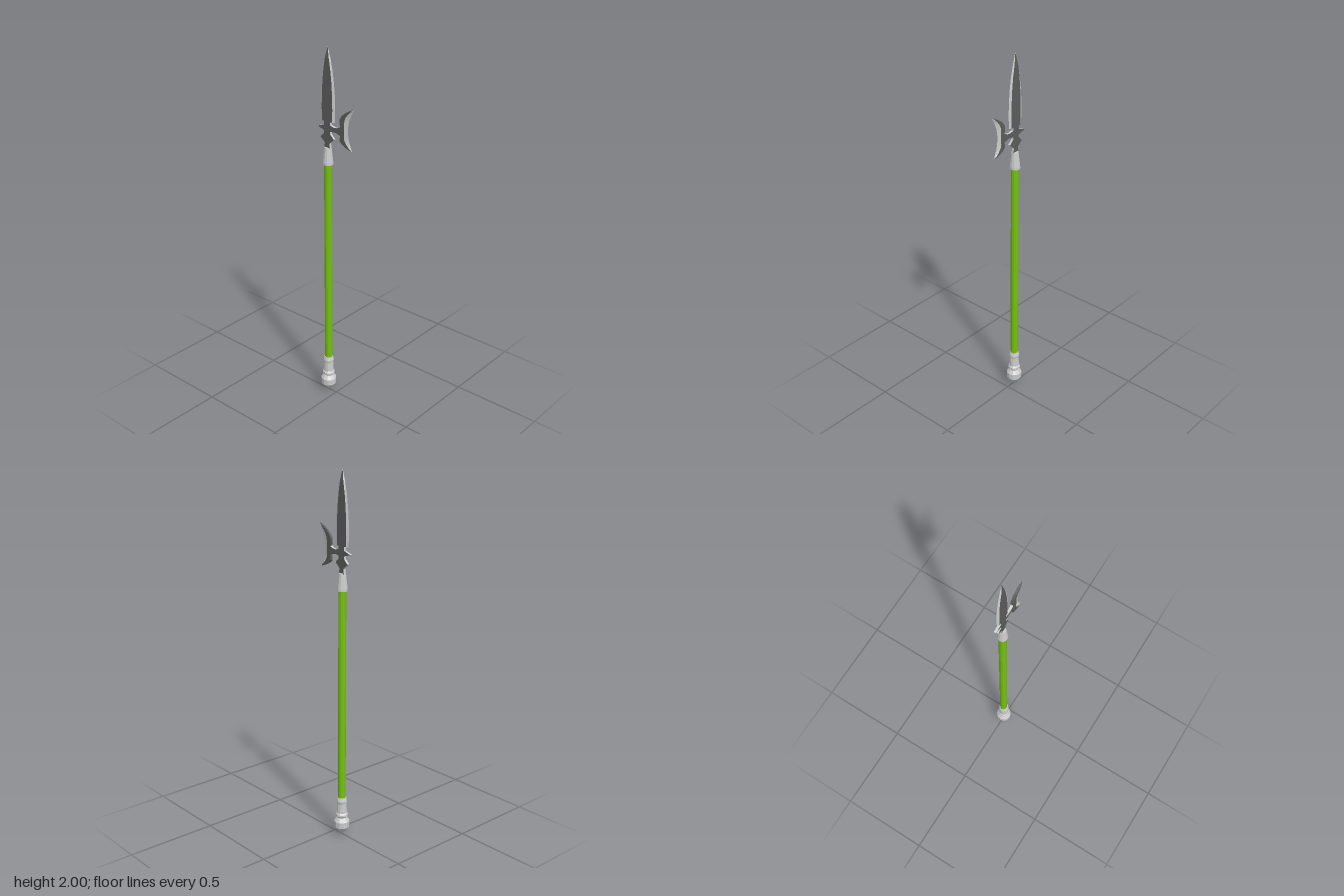
import * as THREE from 'three';

const CX = -0.056; // shaft axis
const T = 0.0065;  // half thickness of the head

const material = (color) => new THREE.MeshStandardMaterial({ color, flatShading: true, side: THREE.DoubleSide });
const grey = material(0xcccccc);
const dark = material(0x5c5c5c);
const green = material(0x74c010);

function part(name, geometry, mat) {
  const mesh = new THREE.Mesh(geometry, mat);
  mesh.name = name;
  return mesh;
}

// Faceted turned part around the shaft axis, profile as [radius, y]
function turned(name, profile, mat, sides = 12) {
  const geometry = new THREE.LatheGeometry(profile.map(([r, y]) => new THREE.Vector2(r, y)), sides);
  return part(name, geometry.translate(CX, 0, 0), mat);
}

// Surface between successive rows of [x, y, z] points
function loft(name, rows, mat) {
  const position = [];
  for (let i = 0; i < rows.length - 1; i++) {
    for (let j = 0; j < rows[i].length - 1; j++) {
      const a = rows[i][j], b = rows[i][j + 1], c = rows[i + 1][j + 1], d = rows[i + 1][j];
      position.push(...a, ...b, ...c, ...a, ...c, ...d);
    }
  }
  const geometry = new THREE.BufferGeometry();
  geometry.setAttribute('position', new THREE.Float32BufferAttribute(position, 3));
  geometry.computeVertexNormals();
  return part(name, geometry, mat);
}

// Leaf-shaped spear blade with ground edges
function spearBlade() {
  const group = new THREE.Group();
  group.name = 'spearBlade';
  const outline = [[1.615, 0.046], [1.68, 0.049], [1.75, 0.047], [1.82, 0.041], [1.88, 0.032], [1.94, 0.018], [2, 0]];
  const rows = outline.map(([y, w]) => ({ y, w, c: w * 0.72, t: T * Math.min(1, w / 0.018) }));
  const first = rows[0];
  rows.unshift({ ...first, w: 0, c: 0, t: 0 }); // closes the base
  for (const s of [1, -1]) {
    group.add(loft(s > 0 ? 'bladeFront' : 'bladeBack',
      rows.map(({ y, c, t }) => [[CX - s * c, y, s * t], [CX + s * c, y, s * t]]), dark));
    group.add(loft(s > 0 ? 'bladeLeftEdge' : 'bladeRightEdge',
      rows.map(({ y, w, c, t }) => [[CX + s * c, y, s * t], [CX + s * w, y, 0], [CX + s * c, y, -s * t]]), grey));
  }
  return group;
}

// Crescent axe with a concave cutting edge
function axeBlade() {
  const group = new THREE.Group();
  group.name = 'axeBlade';
  const curve = (points) => new THREE.CatmullRomCurve3(points.map(([x, y]) => new THREE.Vector3(x, y, 0)));
  const back = curve([[0.104, 1.489], [0.062, 1.505], [0.027, 1.53], [0.032, 1.56], [0.032, 1.6],
    [0.026, 1.642], [0.058, 1.68], [0.118, 1.715]]).getPoints(14);
  const edge = curve([[0.104, 1.489], [0.083, 1.545], [0.077, 1.6], [0.088, 1.655], [0.118, 1.715]]).getPoints(14);
  const rows = back.map((b, i) => {
    const e = edge[i];
    return { b, e, c: b.clone().lerp(e, 0.55) };
  });
  const at = (p, z) => [p.x, p.y, z];
  // Thickness fades out at the two horns
  const thick = (i) => (i === 0 || i === rows.length - 1 ? 0 : T);
  group.add(loft('axeFaces', rows.map(({ b, c }, i) => {
    const t = thick(i);
    return [at(c, -t), at(b, -t), at(b, t), at(c, t)];
  }), dark));
  group.add(loft('axeEdge', rows.map(({ c, e }, i) => {
    const t = thick(i);
    return [at(c, t), at(e, 0), at(c, -t)];
  }), grey));
  return group;
}

// Flat neck with diamond, back spike and arm reaching the axe
function crosspiece() {
  const outline = [[-0.02, 1.465], [-0.015, 1.5], [-0.045, 1.527], [-0.021, 1.55], [-0.021, 1.566],
    [-0.065, 1.579], [-0.021, 1.594], [-0.021, 1.618], [0.021, 1.618], [0.021, 1.598], [0.045, 1.592],
    [0.065, 1.594], [0.092, 1.606], [0.092, 1.554], [0.065, 1.566], [0.045, 1.568], [0.021, 1.563],
    [0.021, 1.55], [0.045, 1.527], [0.015, 1.5], [0.02, 1.465]];
  const shape = new THREE.Shape(outline.map(([x, y]) => new THREE.Vector2(CX + x, y)));
  const geometry = new THREE.ExtrudeGeometry(shape, { depth: 2 * T, bevelEnabled: false });
  return part('crosspiece', geometry.translate(0, 0, -T), [dark, grey]);
}

export function createModel() {
  const model = new THREE.Group();
  model.name = 'polearm';
  model.add(
    turned('pommel', [[0, 0], [0.012, 0.012], [0.042, 0.047], [0.043, 0.082], [0.03, 0.1], [0.027, 0.105],
      [0.034, 0.113], [0.034, 0.124], [0.028, 0.132], [0.028, 0.145], [0.026, 0.19], [0.029, 0.195],
      [0.029, 0.205], [0.024, 0.222], [0, 0.222]], grey),
    turned('shaft', [[0, 0.2], [0.021, 0.2], [0.021, 1.4], [0, 1.4]], green),
    turned('socket', [[0, 1.383], [0.028, 1.383], [0.028, 1.395], [0.019, 1.476], [0, 1.476]], grey),
    crosspiece(),
    spearBlade(),
    axeBlade(),
  );
  return model;
}
